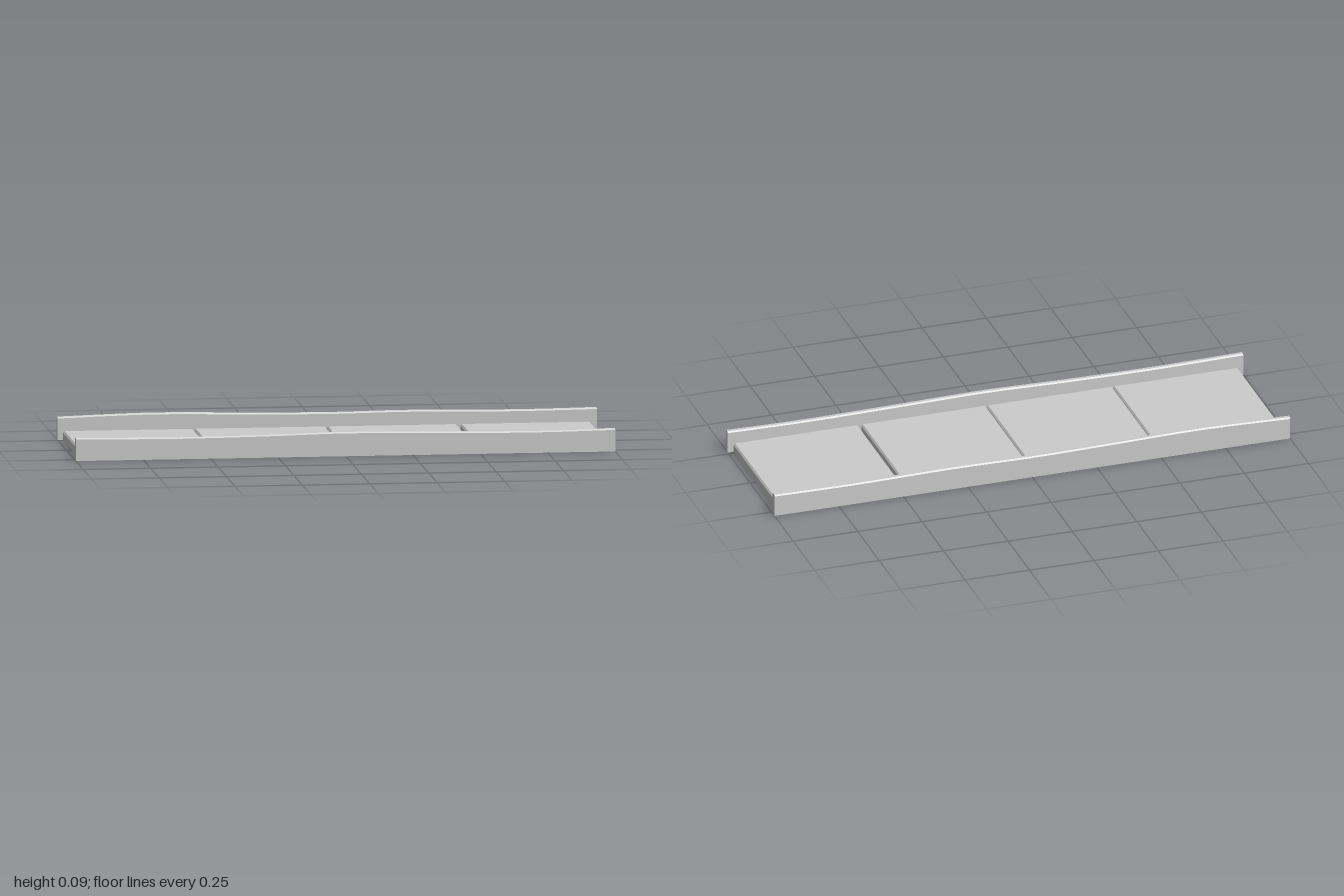
import * as THREE from 'three';

const material = new THREE.MeshStandardMaterial({ color: 0xcccccc, flatShading: true });

// Extrudes an outline of [x, y] points, centred along its depth
function extrudeOutline(points, depth, steps = 1) {
  const shape = new THREE.Shape(points.map(([x, y]) => new THREE.Vector2(x, y)));
  const geometry = new THREE.ExtrudeGeometry(shape, { depth, steps, bevelEnabled: false });
  return geometry.translate(0, 0, -depth / 2);
}

// Side rail with chamfered top edges and a gently uneven top
function makeRail(name, z, profile) {
  const w = 0.0115, h = 0.085, c = 0.005;
  const geometry = extrudeOutline(
    [[-w, 0], [w, 0], [w, h - c], [w - c, h], [c - w, h], [-w, h - c]], 2, 32);
  geometry.rotateY(Math.PI / 2);
  const curve = new THREE.SplineCurve(profile.map(([x, y]) => new THREE.Vector2(x, y)));
  const samples = curve.getPoints(100);
  const topAt = (x) => {
    let i = 1;
    while (i < samples.length - 1 && samples[i].x < x) i++;
    const a = samples[i - 1], b = samples[i];
    return a.y + (b.y - a.y) * (x - a.x) / (b.x - a.x);
  };
  const p = geometry.attributes.position;
  for (let i = 0; i < p.count; i++) {
    if (p.getY(i) > 0.04) p.setY(i, p.getY(i) - h + topAt(p.getX(i)));
  }
  geometry.computeVertexNormals();
  const rail = new THREE.Mesh(geometry, material);
  rail.name = name;
  rail.position.z = z;
  return rail;
}

// Deck panel: hollow below, with end ribs and chamfered top edges
function makePanel(name, x0, x1) {
  const top = 0.033, c = 0.006, rib = 0.013, under = 0.026;
  const geometry = extrudeOutline([
    [x0, 0], [x0 + rib, 0], [x0 + rib, under], [x1 - rib, under], [x1 - rib, 0],
    [x1, 0], [x1, top - c], [x1 - c, top], [x0 + c, top], [x0, top - c],
  ], 0.526);
  const panel = new THREE.Mesh(geometry, material);
  panel.name = name;
  return panel;
}

export function createModel() {
  const model = new THREE.Group();
  model.name = 'walkway';

  // Rails
  model.add(
    makeRail('frontRail', 0.2725,
      [[-1, 0.086], [-0.65, 0.081], [-0.3, 0.084], [0, 0.09], [0.35, 0.085], [0.7, 0.081], [1, 0.085]]),
    makeRail('backRail', -0.2725,
      [[-1, 0.085], [-0.65, 0.094], [-0.3, 0.088], [0, 0.084], [0.3, 0.087], [0.7, 0.082], [1, 0.085]]),
  );

  // Deck, with one open joint before the last panel
  const spans = [[-0.98, -0.495], [-0.493, -0.004], [-0.002, 0.482], [0.494, 0.977]];
  spans.forEach(([x0, x1], i) => model.add(makePanel(`deckPanel${i + 1}`, x0, x1)));

  return model;
}
